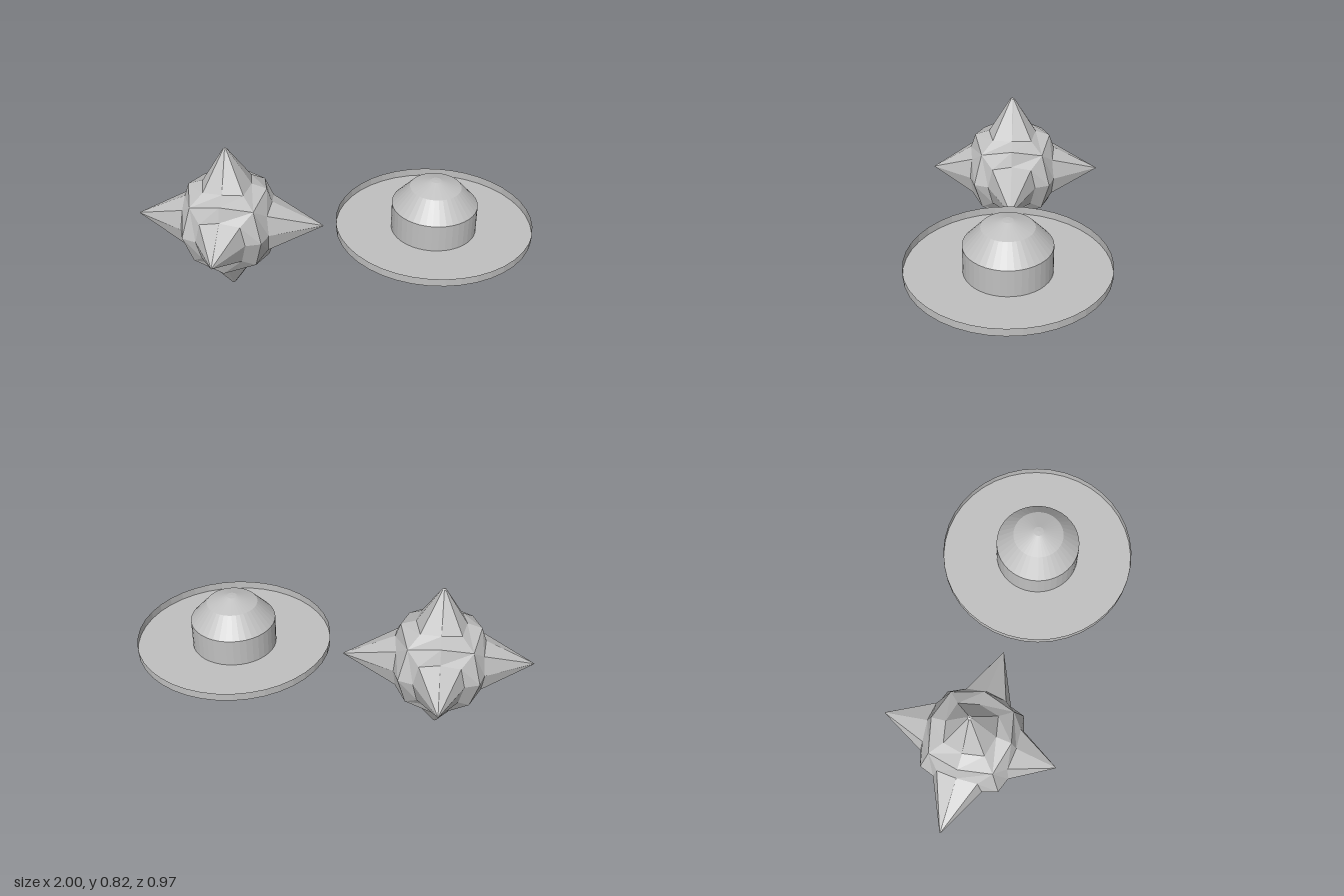
import * as THREE from 'three';

const gray = new THREE.MeshStandardMaterial({ color: 0xc0c0c0 });
gray.name = 'plainGray';
gray.flatShading = true;
gray.side = THREE.DoubleSide;

function addMesh(parent, name, geometry) {
  const flat = geometry.index ? geometry.toNonIndexed() : geometry;
  flat.computeVertexNormals();
  const mesh = new THREE.Mesh(flat, gray);
  mesh.name = name;
  parent.add(mesh);
  return mesh;
}

// Eight points around a face: axial points at radius mid, diagonal ones at (diag, diag)
function ring(mid, midHeight, diag, diagHeight) {
  return Array.from({ length: 8 }, (_, i) => {
    const a = (i * Math.PI) / 4;
    const r = i % 2 ? diag * Math.SQRT2 : mid;
    return [r * Math.cos(a), r * Math.sin(a), i % 2 ? diagHeight : midHeight];
  });
}

// Joins rings into a surface, placed on the face with axes u, v, n
function loft(rings, u, v, n) {
  const positions = [];
  const put = ([a, b, c]) => {
    const p = new THREE.Vector3().addScaledVector(u, a).addScaledVector(v, b).addScaledVector(n, c);
    positions.push(p.x, p.y, p.z);
  };
  for (let k = 0; k < rings.length - 1; k++) {
    for (let i = 0; i < 8; i++) {
      const j = (i + 1) % 8;
      const [a, b, c, d] = [rings[k][i], rings[k][j], rings[k + 1][j], rings[k + 1][i]];
      [a, b, c, a, c, d].forEach(put);
    }
  }
  const geometry = new THREE.BufferGeometry();
  geometry.setAttribute('position', new THREE.Float32BufferAttribute(positions, 3));
  return geometry;
}

function lathe(points, sides = 40) {
  return new THREE.LatheGeometry(points.map(([r, y]) => new THREE.Vector2(r, y)), sides);
}

function createSpikedBall() {
  const ball = new THREE.Group();
  ball.name = 'spikedBall';
  const faces = [
    ['left', [1, 0, 0], 0.485], ['right', [-1, 0, 0], 0.475],
    ['top', [0, 1, 0], 0.42], ['bottom', [0, -1, 0], 0.405],
    ['front', [0, 0, 1], 0.43], ['back', [0, 0, -1], 0.46],
  ];
  const edge = ring(0.2, 0.2, 0.16, 0.16);
  const base = ring(0.125, 0.225, 0.102, 0.215);
  for (const [side, axis, length] of faces) {
    const n = new THREE.Vector3(...axis);
    const u = new THREE.Vector3(axis[1], axis[2], axis[0]);
    const v = new THREE.Vector3().crossVectors(n, u);
    // Rounded cube panel around the spike
    addMesh(ball, side + 'Panel', loft([edge, base], u, v, n));
    // Eight-sided spike with a slightly blunt tip
    const blunt = Math.abs(axis[1]) ? 0.011 : 0.004;
    const neck = ring(blunt, length - 0.005, blunt * 0.7, length - 0.005);
    const tip = ring(0, length, 0, length);
    addMesh(ball, side + 'Spike', loft([base, neck, tip], u, v, n));
  }
  ball.position.set(-0.523, 0.405, 0);
  return ball;
}

function createHat() {
  const hat = new THREE.Group();
  hat.name = 'hat';
  // Flat brim with an upright rim
  addMesh(hat, 'brim', lathe([[0.185, 0.45], [0.485, 0.45], [0.485, 0.49]]));
  addMesh(hat, 'crown', lathe([[0.21, 0.45], [0.21, 0.59], [0.125, 0.685], [0.025, 0.72], [0, 0.722]]));
  addMesh(hat, 'crownLining', lathe([[0, 0.69], [0.1, 0.66], [0.185, 0.58], [0.185, 0.45]]));
  // Small peg hanging inside the crown
  const peg = addMesh(hat, 'innerPeg', new THREE.CylinderGeometry(0.025, 0.025, 0.2, 12));
  peg.position.y = 0.59;
  hat.position.x = 0.513;
  return hat;
}

export function createModel() {
  const model = new THREE.Group();
  model.name = 'spikedBallAndHat';
  model.add(createSpikedBall(), createHat());
  return model;
}
